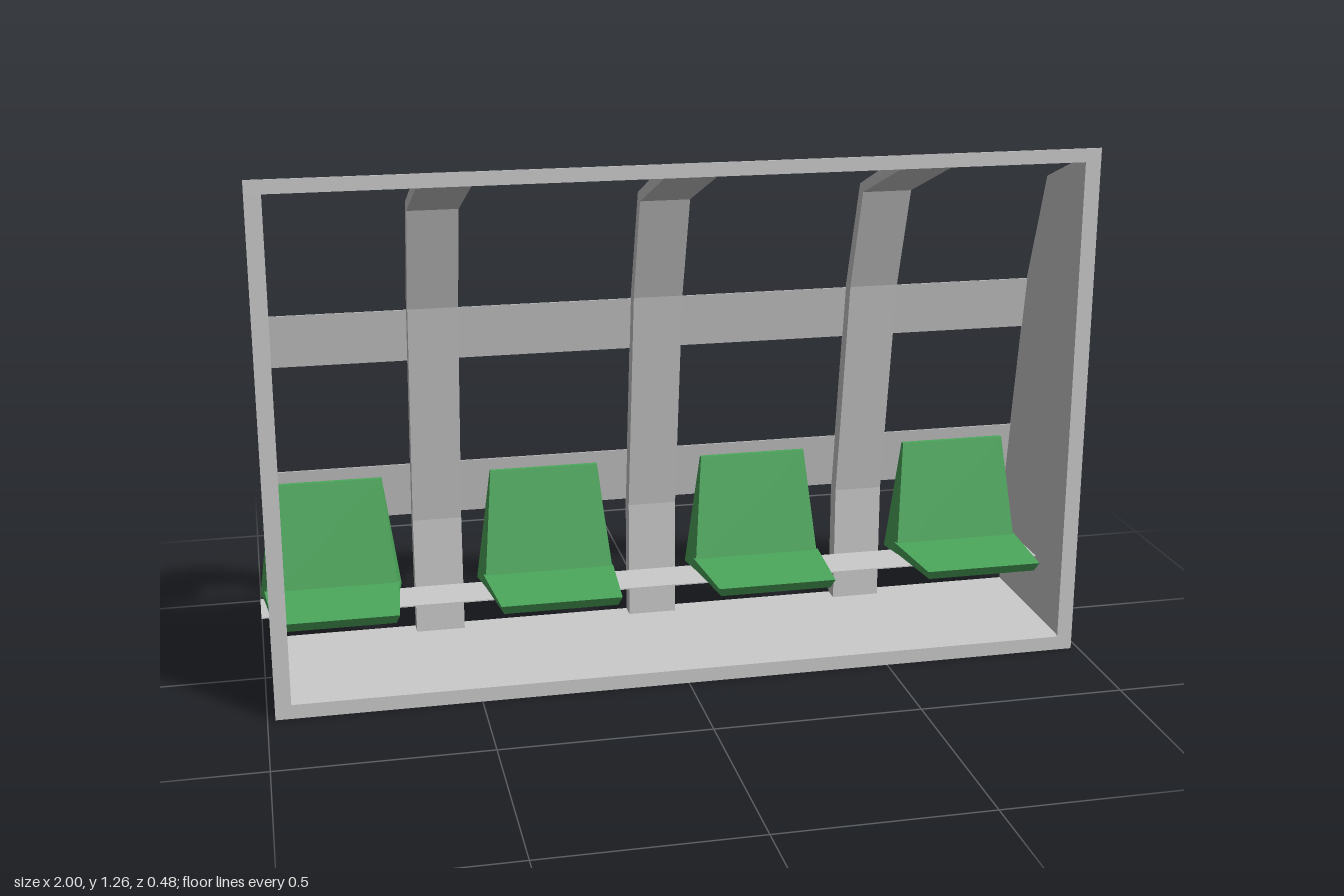
import * as THREE from 'three';

const grey = new THREE.MeshStandardMaterial({ color: 0xcccccc });
const green = new THREE.MeshStandardMaterial({ color: 0x4ca85c });

// Extrude a (z, y) section along x, centred on the given x
function section(name, points, width, x) {
  const shape = new THREE.Shape(points.map(([z, y]) => new THREE.Vector2(z, y)));
  const geo = new THREE.ExtrudeGeometry(shape, { depth: width, bevelEnabled: false });
  geo.translate(0, 0, -width / 2).rotateY(-Math.PI / 2);
  const mesh = new THREE.Mesh(geo, grey);
  mesh.name = name;
  mesh.position.x = x;
  return mesh;
}

function box(name, w, h, d, x, y, z) {
  const mesh = new THREE.Mesh(new THREE.BoxGeometry(w, h, d), grey);
  mesh.name = name;
  mesh.position.set(x, y, z);
  return mesh;
}

// Box whose corners are placed by a rule: (top, front) -> [half width, y, z]
function tapered(name, rule) {
  const geo = new THREE.BoxGeometry(2, 2, 2);
  const p = geo.attributes.position;
  for (let i = 0; i < p.count; i++) {
    const [w, y, z] = rule(p.getY(i) > 0, p.getZ(i) > 0);
    p.setXYZ(i, p.getX(i) * w, y, z);
  }
  geo.computeVertexNormals();
  const mesh = new THREE.Mesh(geo, green);
  mesh.name = name;
  return mesh;
}

function seat(x) {
  const g = new THREE.Group();
  g.name = 'seat';
  // Thin pan with an undercut front edge
  g.add(tapered('seatPan', (top, front) =>
    [front ? (top ? 0.148 : 0.14) : 0.165, top ? 0.185 : 0.16, front ? (top ? 0.12 : 0.105) : -0.1]));
  // Wedge-shaped backrest, wider at its rear foot
  g.add(tapered('backrest', (top, front) => top
    ? [0.135, 0.44, front ? -0.146 : -0.158]
    : [front ? 0.162 : 0.174, 0.157, front ? -0.085 : -0.158]));
  g.position.x = x;
  return g;
}

export function createModel() {
  const model = new THREE.Group();
  model.name = 'seatingShelter';

  const outer = [[0.243, 1.265], [-0.06, 1.145], [-0.157, 0.862], [-0.24, 0.31], [-0.238, 0]];
  const inner = [[-0.196, 0], [-0.198, 0.305], [-0.116, 0.872], [-0.033, 1.128], [0.243, 1.232]];

  // Thin sheet side walls and floor
  for (const s of [1, -1])
    model.add(section(s > 0 ? 'leftWall' : 'rightWall', [...outer, [0.243, 0]], 0.004, s * 0.98));
  model.add(box('floor', 1.96, 0.004, 0.48, 0, 0.002, 0.002));

  // Flat frame around the open front
  const frame = [['frontSill', 0.035, 0.0175], ['frontBeam', 0.032, 1.248]];
  for (const [name, h, y] of frame) model.add(box(name, 1.96, h, 0.004, 0, y, 0.241));
  for (const s of [1, -1]) model.add(box('frontPost', 0.036, 1.2, 0.004, s * 0.962, 0.632, 0.241));

  // Bent ribs carrying the back and roof
  for (const x of [-0.553, 0, 0.553])
    model.add(section('rib', [...outer, ...inner], 0.122, x));

  // Thin back rails, flush with the slanted outer face
  const rail = (name, y0, z0, y1, z1) => model.add(section(name,
    [[z0, y0], [z0 + 0.004, y0], [z1 + 0.004, y1], [z1, y1]], 1.96, 0));
  rail('lowerRail', 0.31, -0.24, 0.45, -0.219);
  rail('upperRail', 0.73, -0.177, 0.862, -0.157);

  // Row of seats on a flat strip that pokes through the walls
  for (let i = 0; i < 4; i++) model.add(seat(-0.825 + i * 0.5385));
  model.add(box('seatSupport', 2, 0.003, 0.12, 0, 0.156, -0.06));
  return model;
}
